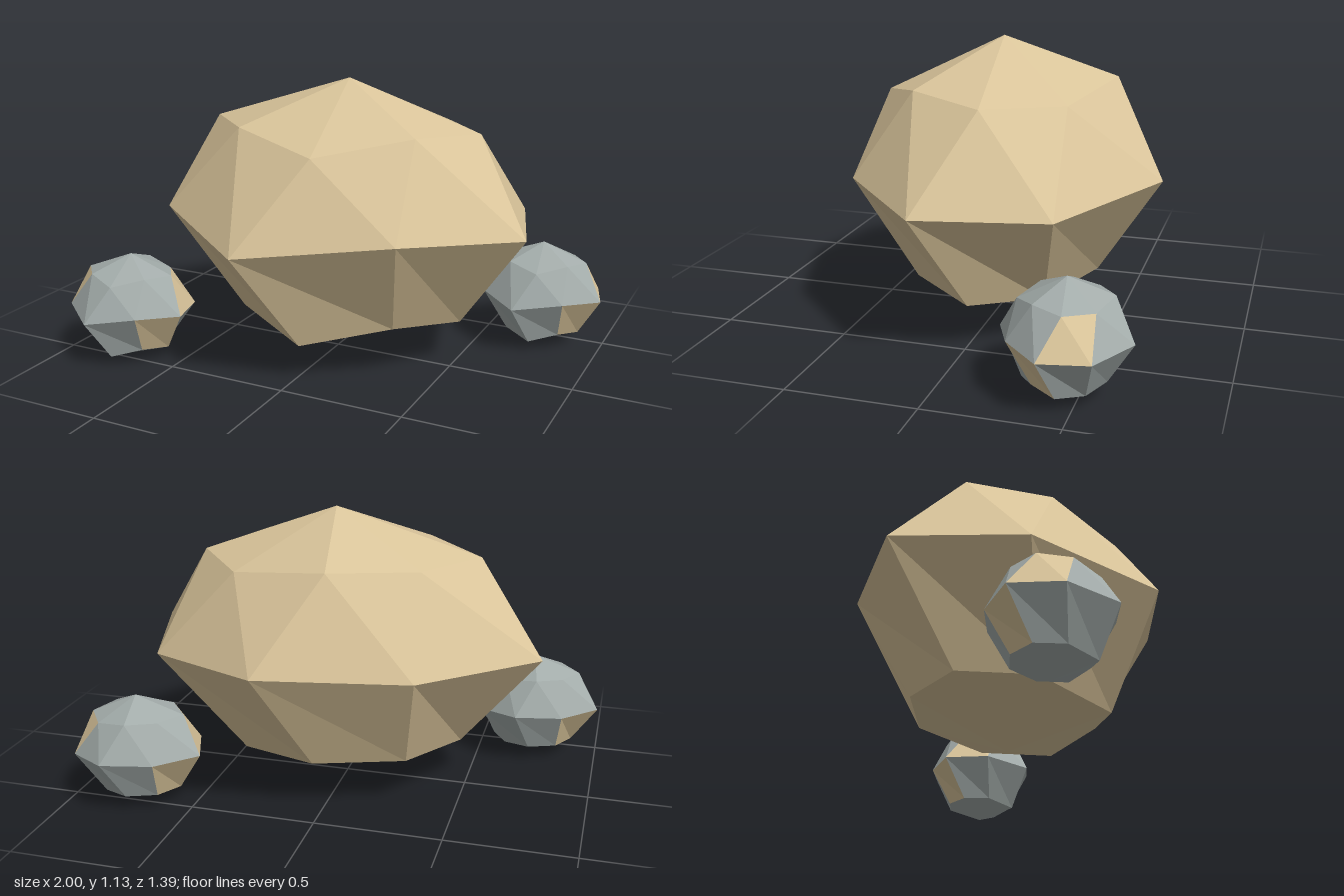
import * as THREE from 'three';

// Faceted rock as stacked eight-sided rings: [x, y, z]
const TOP = [0.03, 1.08, -0.01];
const UPPER = [[0.56, 0.89, -0.07], [0.41, 0.915, 0.23], [0.09, 0.855, 0.45], [-0.29, 0.91, 0.31],
  [-0.54, 0.895, 0.05], [-0.36, 0.9, -0.25], [-0.05, 0.925, -0.45], [0.34, 0.875, -0.34]];
const MIDDLE = [[0.81, 0.545, 0.11], [0.44, 0.57, 0.47], [-0.13, 0.505, 0.67], [-0.61, 0.565, 0.34],
  [-0.81, 0.555, -0.13], [-0.39, 0.545, -0.485], [0.17, 0.575, -0.67], [0.66, 0.53, -0.37]];
const LOWER = [[0.52, 0.135, -0.01], [0.34, 0.165, 0.25], [0.02, 0.1, 0.42], [-0.32, 0.155, 0.25],
  [-0.49, 0.145, -0.01], [-0.32, 0.145, -0.27], [0.02, 0.15, -0.4], [0.34, 0.125, -0.26]];
const BOTTOM = [0.02, 0, -0.01];

// Returns the rock; patch sections use the second material
function rockGeometry() {
  const points = [];
  const geometry = new THREE.BufferGeometry();
  const face = (material, ...corners) => {
    geometry.addGroup(points.length / 3, corners.length, material);
    corners.forEach((c) => points.push(...c));
  };
  for (let i = 0; i < 8; i++) {
    const j = (i + 1) % 8;
    const band = (low, high, material) =>
      face(material, low[i], high[i], high[j], low[i], high[j], low[j]);
    face(0, TOP, UPPER[j], UPPER[i]);
    band(MIDDLE, UPPER, i % 4 === 3 ? 1 : 0);
    band(LOWER, MIDDLE, i % 4 === 0 ? 1 : 0);
    face(0, BOTTOM, LOWER[i], LOWER[j]);
  }
  geometry.setAttribute('position', new THREE.Float32BufferAttribute(points, 3));
  geometry.computeVertexNormals();
  return geometry;
}

export function createModel() {
  const sandstone = new THREE.MeshStandardMaterial({ color: 0xd9c49a });
  sandstone.name = 'sandstone';
  const greyStone = new THREE.MeshStandardMaterial({ color: 0xa3acaa });
  greyStone.name = 'greyStone';

  const model = new THREE.Group();
  model.name = 'rocks';
  const addRock = (name, materials, position, scale) => {
    const rock = new THREE.Mesh(rockGeometry().scale(...scale), materials);
    rock.name = name;
    rock.position.set(...position);
    model.add(rock);
  };

  // Large boulder
  addRock('boulder', [sandstone, sandstone], [0.01, 0.055, -0.01], [1, 1, 1]);

  // Two small stones on opposite corners
  const small = [1 / 3, 0.4, 1 / 2.68];
  addRock('leftStone', [greyStone, sandstone], [0.73, 0, -0.445], small);
  addRock('rightStone', [greyStone, sandstone], [-0.73, 0, 0.445], small);
  return model;
}
